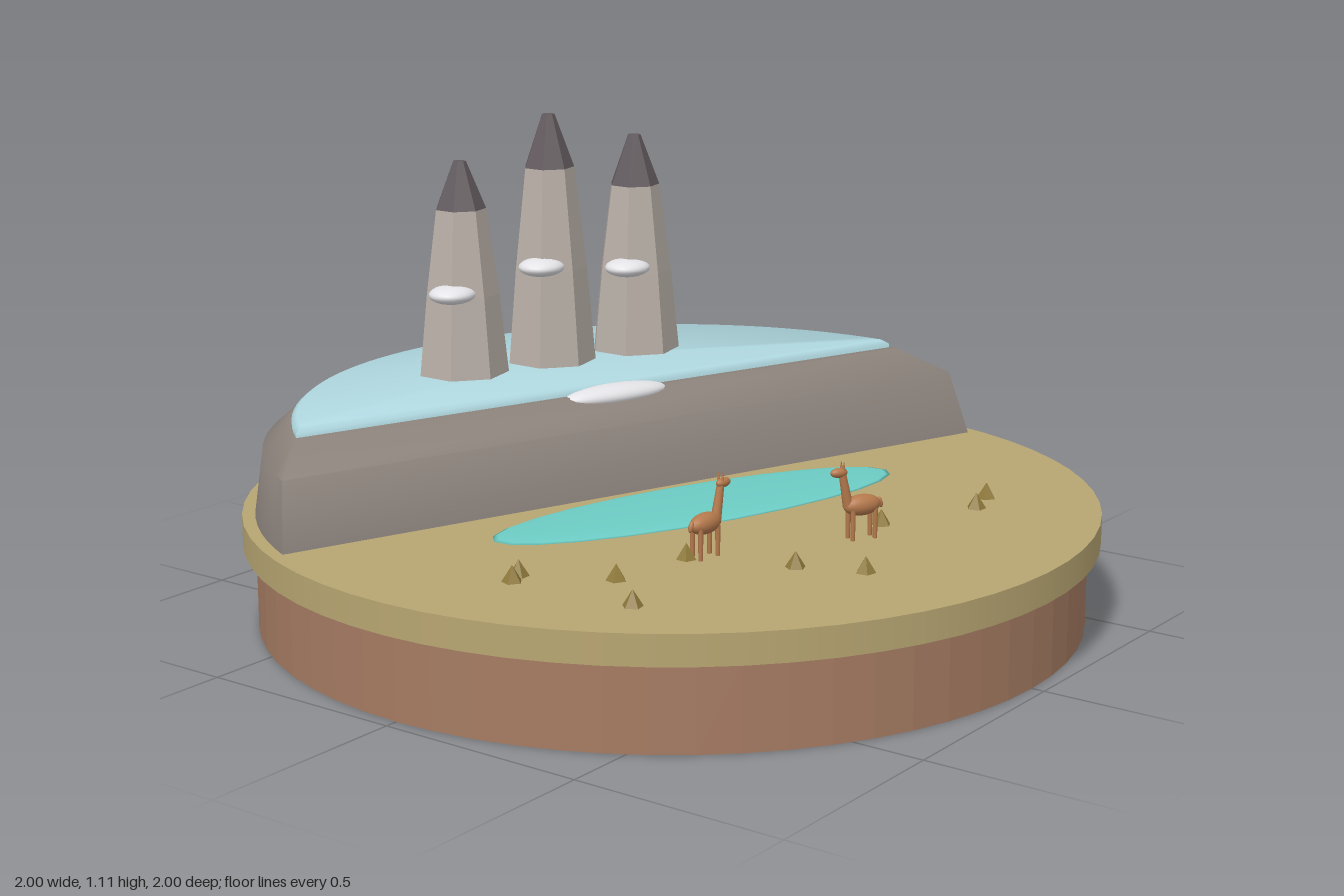
import * as THREE from 'three';
import { toCreasedNormals } from 'three/addons/utils/BufferGeometryUtils.js';

const mat = (name, color, flatShading = false) => {
  const m = new THREE.MeshStandardMaterial({ color, flatShading });
  m.name = name;
  return m;
};

// Loft through half-disc outlines; each level is [y, radius, front z]
function halfDisc(levels, n = 48) {
  const pos = [];
  const rings = levels.map(([y, r, z0]) => {
    const start = Math.asin(-z0 / r), ring = [];
    for (let i = 0; i <= n; i++) {
      const a = start + (Math.PI - 2 * start) * i / n;
      ring.push([r * Math.cos(a), y, -r * Math.sin(a)]);
    }
    return ring;
  });
  const tri = (...pts) => pts.forEach(p => pos.push(...p));
  const count = n + 1;
  for (let k = 0; k + 1 < rings.length; k++) {
    for (let i = 0; i < count; i++) {
      const j = (i + 1) % count, lo = rings[k], hi = rings[k + 1];
      tri(lo[i], lo[j], hi[j]);
      tri(lo[i], hi[j], hi[i]);
    }
  }
  const [y, r, z0] = levels[levels.length - 1], top = rings[rings.length - 1];
  for (let i = 0; i < count; i++) tri([0, y, (z0 - r) / 2], top[i], top[(i + 1) % count]);
  const g = new THREE.BufferGeometry();
  g.setAttribute('position', new THREE.Float32BufferAttribute(pos, 3));
  return toCreasedNormals(g, 1.0);
}

export function createModel() {
  const root = new THREE.Group();
  root.name = 'landscapeDiorama';
  const soil = mat('soil brown', 0xa67c63, true);
  const sand = mat('dry grass tan', 0xb8a672);
  const rock = mat('rock grey', 0x8a817a);
  const ice = mat('ice blue', 0xb0d8e0);
  const water = mat('lake turquoise', 0x6cccc4);
  const snow = mat('snow white', 0xeeeef2);
  const stone = mat('tower stone', 0xb8afa7, true);
  const slate = mat('dark summit', 0x625a5e, true);
  const fur = mat('fur brown', 0xb5794c);
  const straw = mat('tuft olive', 0x8f7a3c, true);

  const add = (parent, name, geo, material, x = 0, y = 0, z = 0) => {
    const m = new THREE.Mesh(geo, material);
    m.name = name;
    m.position.set(x, y, z);
    parent.add(m);
    return m;
  };
  const ellipsoid = (a, b, c) => new THREE.SphereGeometry(1, 24, 14).scale(a, b, c);

  // Round base
  add(root, 'soilBase', new THREE.CylinderGeometry(0.97, 0.97, 0.2, 64), soil, 0, 0.1, 0);
  add(root, 'groundDisc', new THREE.CylinderGeometry(1, 1, 0.07, 64), sand, 0, 0.233, 0);

  // Rock plateau with its ice sheet, turned across the base
  const turn = THREE.MathUtils.degToRad(20);
  const massif = new THREE.Group();
  massif.name = 'massif';
  massif.rotation.y = -turn;
  root.add(massif);
  add(massif, 'rockPlateau', halfDisc([[0.265, 0.97, -0.08], [0.42, 0.948, -0.13], [0.475, 0.885, -0.24]]), rock);
  add(massif, 'iceSheet', halfDisc([[0.47, 0.88, -0.255], [0.485, 0.88, -0.258], [0.495, 0.868, -0.27]]), ice);
  add(massif, 'snowLip', ellipsoid(0.145, 0.026, 0.046), snow, 0, 0.466, -0.247);

  // Lake
  add(massif, 'lake', ellipsoid(0.55, 0.012, 0.15), water, 0.017, 0.268, 0.09);

  // Seven-sided towers with dark summits and snow ledges: [x, cap y, tip y, ledge y]
  for (const [x, capY, tipY, ledgeY] of [[-0.25, 0.9, 1.015, 0.702], [0, 0.98, 1.11, 0.743], [0.25, 0.915, 1.04, 0.715]]) {
    const tower = new THREE.Group();
    tower.name = 'tower';
    tower.position.set(x, 0, -0.55);
    tower.rotation.y = turn;
    massif.add(tower);
    const tier = (name, r0, r1, y0, y1, material) =>
      add(tower, name, new THREE.CylinderGeometry(r1, r0, y1 - y0, 7).rotateY(Math.PI / 2), material, 0, (y0 + y1) / 2, 0);
    const midY = 0.48 + (capY - 0.48) * 0.5;
    tier('towerFoot', 0.114, 0.092, 0.48, midY, stone);
    tier('towerShaft', 0.092, 0.063, midY, capY, stone);
    tier('towerSummit', 0.063, 0.016, capY, tipY, slate);
    add(tower, 'snowLedge', ellipsoid(0.06, 0.023, 0.055), snow, -0.068, ledgeY, 0.03);
  }

  // Grazing animals, built facing +x: [x, z, heading]
  for (const [x, z, heading] of [[-0.345, 0.345, -0.1], [-0.02, 0.54, Math.PI - 0.5]]) {
    const animal = new THREE.Group();
    animal.name = 'animal';
    animal.position.set(x, 0.268, z);
    animal.rotation.y = heading;
    root.add(animal);
    add(animal, 'body', ellipsoid(0.046, 0.024, 0.023), fur, 0, 0.077, 0);
    const neck = add(animal, 'neck', new THREE.CylinderGeometry(0.008, 0.012, 0.085, 10), fur, 0.043, 0.118, 0);
    neck.rotation.z = -0.2;
    add(animal, 'head', ellipsoid(0.021, 0.011, 0.011), fur, 0.059, 0.157, 0);
    const tail = add(animal, 'tail', ellipsoid(0.006, 0.013, 0.006), fur, -0.046, 0.078, 0);
    tail.rotation.z = -0.3;
    for (const s of [-1, 1]) {
      add(animal, 'ear', new THREE.ConeGeometry(0.004, 0.022, 6), fur, 0.05, 0.173, s * 0.006);
      for (const lx of [-0.028, 0.028]) {
        add(animal, 'leg', new THREE.CylinderGeometry(0.006, 0.005, 0.07, 8), fur, lx, 0.035, s * 0.012);
      }
    }
  }

  // Grass tufts
  const tuft = new THREE.ConeGeometry(0.024, 0.038, 5);
  const spots = [[-0.73, 0.12], [-0.69, 0.105], [-0.59, 0.29], [-0.71, 0.425], [-0.38, 0.32],
    [-0.29, 0.545], [-0.23, 0.685], [0.095, 0.52], [0.34, 0.625], [0.43, 0.6]];
  spots.forEach(([x, z], i) => {
    add(root, 'grassTuft', tuft, straw, x, 0.286, z).rotation.y = i * 0.7;
  });
  return root;
}
